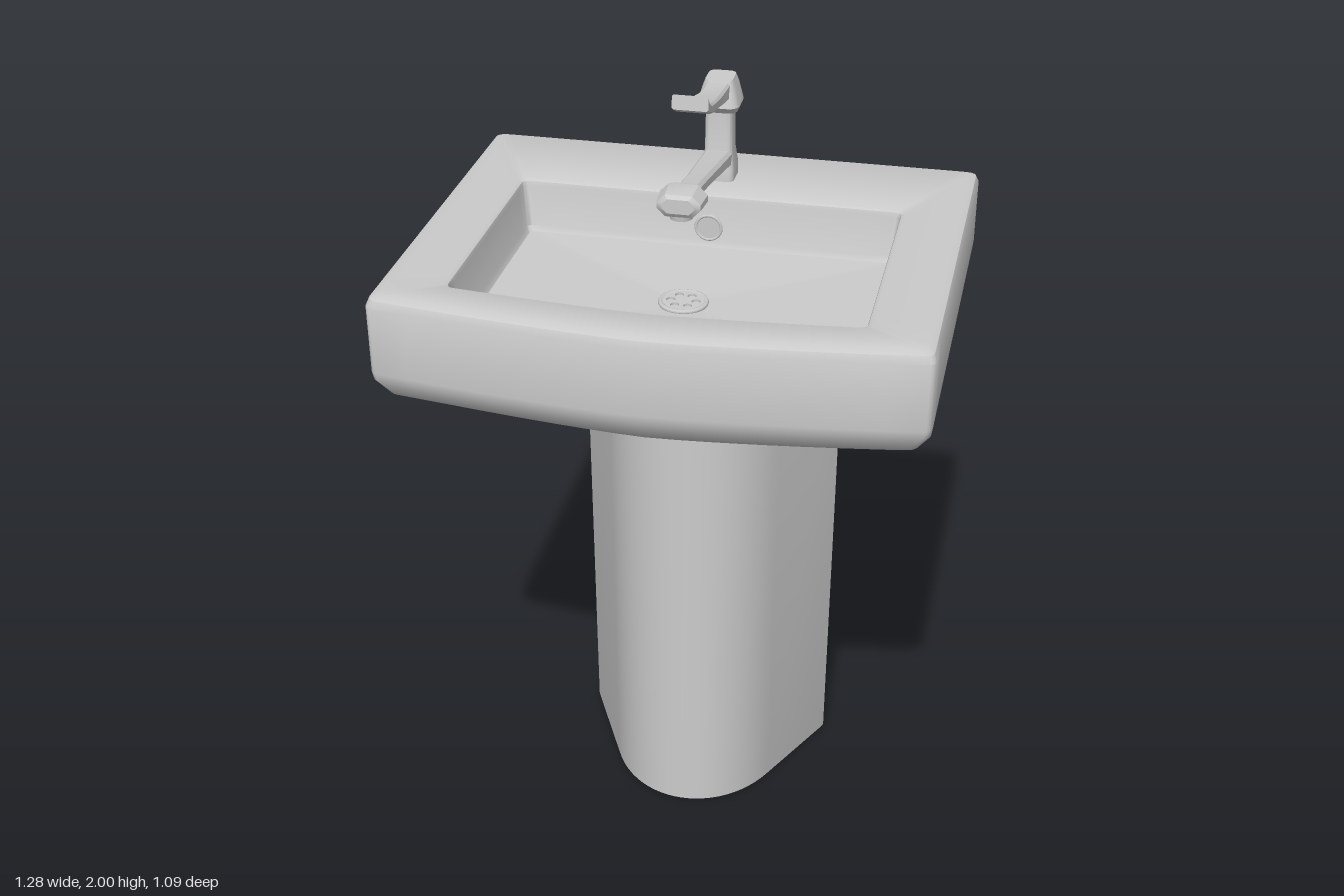
import * as THREE from 'three';
import { toCreasedNormals } from 'three/addons/utils/BufferGeometryUtils.js';

const V = (x, y, z) => new THREE.Vector3(x, y, z);
const material = new THREE.MeshStandardMaterial({ color: 0xcccccc });

function part(name, geometry, parent) {
  const mesh = new THREE.Mesh(geometry, material);
  mesh.name = name;
  parent.add(mesh);
  return mesh;
}

// Skin a list of equal-length closed loops and close both ends with fans.
function loft(loops, crease = 0.6) {
  const n = loops[0].length, pos = [];
  const tri = (...pts) => pts.forEach((p) => pos.push(p.x, p.y, p.z));
  const middle = (loop) => loop.reduce((s, p) => s.add(p), V(0, 0, 0)).divideScalar(n);
  const first = loops[0], last = loops[loops.length - 1];
  const start = middle(first), end = middle(last);
  for (let j = 0; j < n; j++) {
    const k = (j + 1) % n;
    tri(start, first[j], first[k]);
    tri(end, last[k], last[j]);
    for (let i = 0; i < loops.length - 1; i++) {
      const a = loops[i], b = loops[i + 1];
      tri(a[j], b[j], a[k]);
      tri(a[k], b[j], b[k]);
    }
  }
  const geometry = new THREE.BufferGeometry();
  geometry.setAttribute('position', new THREE.Float32BufferAttribute(pos, 3));
  return toCreasedNormals(geometry, crease);
}

// Horizontal rounded rectangle whose front edge bows forward.
function outline(y, xh, zb, zf, r, bow = 0, edge = 16) {
  const corners = [[1, 1], [-1, 1], [-1, -1], [1, -1]].map(([sx, sz], c) => {
    const cx = sx * (xh - r), cz = sz > 0 ? zf - r : zb + r;
    return Array.from({ length: 5 }, (_, i) => {
      const a = (c + i / 4) * Math.PI / 2;
      return V(cx + r * Math.cos(a), y, cz + r * Math.sin(a));
    });
  });
  const loop = [];
  corners.forEach((arc, c) => {
    loop.push(...arc);
    const next = corners[(c + 1) % 4][0];
    for (let i = 1; i < edge; i++) loop.push(arc[4].clone().lerp(next, i / edge));
  });
  for (const p of loop) {
    if (p.z > (zb + zf) / 2) p.z += bow * (1 - Math.pow(Math.abs(p.x) / xh, 1.4));
  }
  return loop;
}

// Upright chamfered rectangle, for parts running front to back.
function section(z, hw, y0, y1, c, lean = 0) {
  const h = y1 - y0;
  return [
    [hw, y0 + c], [hw, y1 - c], [hw - c, y1], [c - hw, y1],
    [-hw, y1 - c], [-hw, y0 + c], [c - hw, y0], [hw - c, y0],
  ].map(([x, y]) => V(x, y, z + lean * (y - y0) / h));
}

function makeBasin(group) {
  const outer = (y, i) => outline(y, 0.64 - i, -0.545 + i, 0.48 - i, 0.02, 0.065);
  const inner = (y, i) => outline(y, 0.475 - i, -0.24 + i, 0.375 - i, 0.015, 0.037);
  const loops = [
    outer(1.36, 0.16), outer(1.363, 0.115), outer(1.377, 0.07), outer(1.405, 0.03),
    outer(1.45, 0.003), outer(1.47, 0), outer(1.635, 0), outer(1.652, 0.007), outer(1.66, 0.025),
    inner(1.66, -0.012), inner(1.655, -0.003), inner(1.645, 0), inner(1.54, 0.008), inner(1.527, 0.016),
  ];
  // Floor dishes gently towards the drain
  const rim = loops[loops.length - 1], drain = V(0, 1.507, 0.06);
  for (const t of [0.35, 0.65, 0.92]) loops.push(rim.map((p) => p.clone().lerp(drain, t)));
  part('basin', loft(loops), group);

  // Slotted drain grate
  const disc = new THREE.Shape().absarc(0, 0, 0.052, 0, Math.PI * 2);
  for (let i = 0; i < 6; i++) {
    const a = i * Math.PI / 3;
    disc.holes.push(new THREE.Path().absarc(0.031 * Math.cos(a), 0.031 * Math.sin(a), 0.011, 0, Math.PI * 2, true));
  }
  const grate = new THREE.ExtrudeGeometry(disc, { depth: 0.006, bevelEnabled: false, curveSegments: 16 });
  const grateMesh = part('drainGrate', grate.rotateX(-Math.PI / 2), group);
  grateMesh.position.set(0, 1.511, 0.06);
  const ring = part('drainRing', new THREE.TorusGeometry(0.055, 0.006, 8, 32).rotateX(Math.PI / 2), group);
  ring.position.set(0, 1.513, 0.06);

  // Overflow outlet on the rear wall of the bowl
  const overflow = part('overflowRing', new THREE.TorusGeometry(0.032, 0.004, 8, 28), group);
  overflow.position.set(0, 1.575, -0.234);
  const plug = part('overflowPlate', new THREE.CircleGeometry(0.031, 28), group);
  plug.position.set(0, 1.575, -0.2325);
}

function makePedestal(group) {
  // Flat back, straight splayed sides and a rounded nose
  const shape = new THREE.Shape();
  shape.moveTo(0.335, -0.322);
  shape.lineTo(0.341, -0.3);
  shape.lineTo(0.22, -0.06);
  shape.bezierCurveTo(0.12, 0.147, -0.12, 0.147, -0.22, -0.06);
  shape.lineTo(-0.341, -0.3);
  shape.lineTo(-0.335, -0.322);
  const points = shape.getPoints(24);
  const level = (y, s) => points.map((p) => V(p.x * s, y, p.y));
  part('pedestal', loft([level(0, 0.975), level(0.01, 0.982), level(1.375, 1.005)]), group);
}

function makeTap(group) {
  const tap = new THREE.Group();
  tap.name = 'tap';
  group.add(tap);
  const block = (y, xh, zb, zf, r) => outline(y, xh, zb, zf, r, 0, 2);

  part('column', loft([
    block(1.65, 0.042, -0.412, -0.328, 0.015),
    block(1.69, 0.042, -0.412, -0.328, 0.015),
    block(1.735, 0.035, -0.41, -0.34, 0.015),
    block(1.86, 0.033, -0.408, -0.342, 0.015),
  ], 0.5), tap);

  part('handleHead', loft([
    block(1.838, 0.046, -0.417, -0.335, 0.022),
    block(1.856, 0.053, -0.425, -0.318, 0.025),
    block(1.9, 0.041, -0.423, -0.328, 0.022),
    block(1.92, 0.034, -0.415, -0.335, 0.018),
  ], 0.5), tap);

  // Lever sweeps forward and flicks up at its tip
  part('lever', loft([
    section(-0.012, 0.043, 1.965, 2.0, 0.004, -0.004),
    section(-0.035, 0.042, 1.952, 1.982, 0.005),
    section(-0.07, 0.04, 1.938, 1.962, 0.005),
    section(-0.14, 0.036, 1.917, 1.944, 0.005),
    section(-0.23, 0.031, 1.894, 1.925, 0.006),
    section(-0.29, 0.029, 1.879, 1.917, 0.006),
    section(-0.36, 0.031, 1.868, 1.915, 0.006),
  ], 0.45), tap);

  part('spoutArm', loft([
    section(0.06, 0.028, 1.765, 1.8, 0.008),
    section(-0.1, 0.028, 1.738, 1.772, 0.008),
    section(-0.3, 0.034, 1.703, 1.742, 0.008),
    section(-0.36, 0.036, 1.69, 1.735, 0.008),
  ], 0.45), tap);

  part('spoutHead', loft([
    section(0.121, 0.038, 1.765, 1.8, 0.012),
    section(0.112, 0.052, 1.754, 1.808, 0.02),
    section(0.055, 0.057, 1.752, 1.812, 0.022),
    section(0.034, 0.042, 1.758, 1.806, 0.018),
  ], 0.5), tap);

  // Outlet nozzle under the spout head
  const nozzle = part('nozzle', new THREE.CylinderGeometry(0.03, 0.027, 0.02, 20), tap);
  nozzle.position.set(0, 1.75, 0.08);
}

export function createModel() {
  const model = new THREE.Group();
  model.name = 'pedestalBasin';
  makePedestal(model);
  makeBasin(model);
  makeTap(model);
  return model;
}
